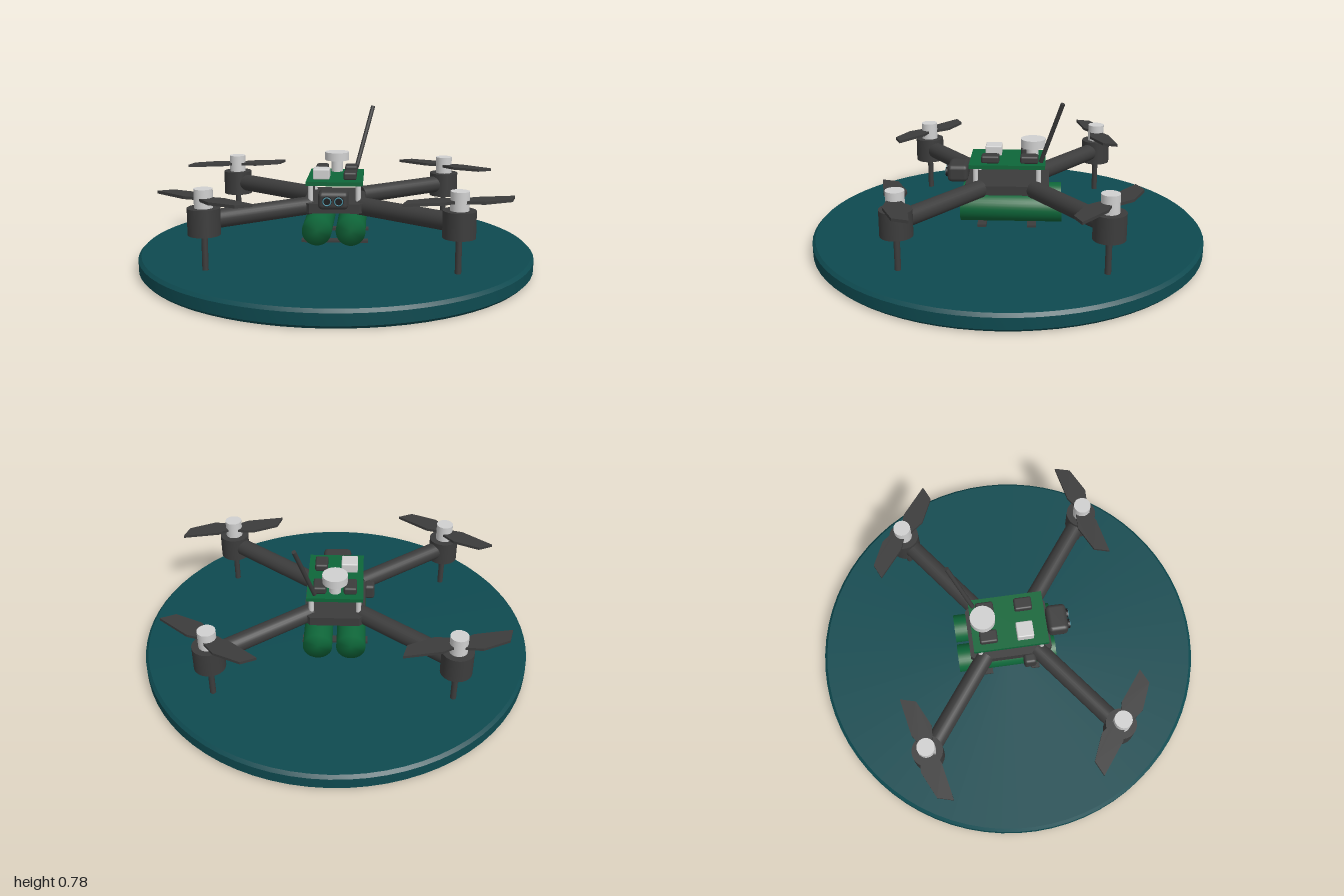
import * as THREE from 'three';
import { mergeVertices, toCreasedNormals } from 'three/addons/utils/BufferGeometryUtils.js';
import { RoundedBoxGeometry } from 'three/addons/geometries/RoundedBoxGeometry.js';

const mat = (name, color) => {
  const m = new THREE.MeshStandardMaterial({ color });
  m.name = name;
  return m;
};

export function createModel() {
  const teal = mat('teal', 0x0e4a50);
  const dark = mat('charcoal', 0x3c3c3c);
  const green = mat('green', 0x0e6639);
  const light = mat('lightGrey', 0xd0d0d0);
  const glass = mat('lensBlue', 0x4a8fa0);
  const black = mat('lensBlack', 0x1c1c1e);

  const model = new THREE.Group();
  model.name = 'quadcopterOnPad';

  const add = (name, geometry, material, x = 0, y = 0, z = 0, parent = model) => {
    const mesh = new THREE.Mesh(geometry, material);
    mesh.name = name;
    mesh.position.set(x, y, z);
    parent.add(mesh);
    return mesh;
  };
  // upright cylinder between two heights
  const post = (name, r, y0, y1, material, x, z, parent = model, sides = 28) =>
    add(name, new THREE.CylinderGeometry(r, r, y1 - y0, sides), material, x, (y0 + y1) / 2, z, parent);
  // cylinder between two points
  const rod = (name, a, b, r, material, sides = 24) => {
    const dir = b.clone().sub(a);
    const mesh = add(name, new THREE.CylinderGeometry(r, r, dir.length(), sides), material);
    mesh.position.copy(a).addScaledVector(dir, 0.5);
    mesh.quaternion.setFromUnitVectors(new THREE.Vector3(0, 1, 0), dir.normalize());
    return mesh;
  };
  // box with softened edges, given by its min and max corners
  const block = (name, x0, x1, y0, y1, z0, z1, bevel, material) =>
    add(name, new RoundedBoxGeometry(x1 - x0, y1 - y0, z1 - z0, 2, bevel), material,
      (x0 + x1) / 2, (y0 + y1) / 2, (z0 + z1) / 2);
  // flat outline in x/z, extruded upwards
  const slab = (points, height) => {
    const shape = new THREE.Shape(points.map(([x, z]) => new THREE.Vector2(x, -z)));
    return new THREE.ExtrudeGeometry(shape, { depth: height, bevelEnabled: false }).rotateX(-Math.PI / 2);
  };

  // landing pad with bevelled rim
  const padProfile = [[0, 0], [0.985, 0], [1, 0.015], [1, 0.07], [0.985, 0.085], [0, 0.085]]
    .map(([r, y]) => new THREE.Vector2(r, y));
  add('landingPad', toCreasedNormals(new THREE.LatheGeometry(padProfile, 72), 0.5), teal);

  // chamfered central frame
  const fx = 0.152, fz = 0.21, c = 0.03;
  add('frame', slab([
    [-fx, -fz + c], [-fx + c, -fz], [fx - c, -fz], [fx, -fz + c],
    [fx, fz - c], [fx - c, fz], [-fx + c, fz], [-fx, fz - c],
  ], 0.047), dark, 0, 0.298, 0);

  // four rotor units: arm, motor, leg, hub and propeller
  const blade = [[0.03, -0.035], [0.075, -0.065], [0.262, -0.103], [0.24, -0.025], [0.11, 0.038], [0.035, 0.035]];
  const outline = [...blade, ...blade.map(([x, z]) => [-x, -z])];
  for (const sx of [-1, 1]) {
    for (const sz of [-1, 1]) {
      const x = sx * 0.585, z = sz * 0.48;
      rod('arm', new THREE.Vector3(sx * 0.125, 0.322, sz * 0.135), new THREE.Vector3(x, 0.322, z), 0.045, dark);
      const rotor = new THREE.Group();
      rotor.name = 'rotorUnit';
      rotor.position.set(x, 0, z);
      model.add(rotor);
      post('motor', 0.077, 0.256, 0.383, dark, 0, 0, rotor, 32);
      post('landingLeg', 0.015, 0.08, 0.26, dark, 0, 0, rotor, 16);
      post('rotorHub', 0.044, 0.383, 0.472, light, 0, 0, rotor);
      const prop = add('propeller', slab(outline, 0.014), dark, 0, 0.418, 0, rotor);
      if (sx * sz < 0) prop.rotation.y = THREE.MathUtils.degToRad(-50);
    }
  }

  // twin canisters, shaded smoothly over their ends
  for (const s of [-1, 1]) {
    let g = new THREE.CylinderGeometry(0.073, 0.073, 0.51, 32).rotateX(Math.PI / 2);
    g.deleteAttribute('uv');
    g.deleteAttribute('normal');
    g = mergeVertices(g);
    g.computeVertexNormals();
    add('canister', g, green, s * 0.083, 0.215, -0.02);
    // cross straps below the canisters
    add('strap', new THREE.BoxGeometry(0.334, 0.012, 0.045), dark, 0, 0.14, s * 0.125);
  }

  // circuit board on standoffs
  add('circuitBoard', new THREE.BoxGeometry(0.28, 0.02, 0.38), green, 0, 0.44, 0);
  for (const sx of [-1, 1]) {
    for (const sz of [-1, 1]) post('standoff', 0.013, 0.34, 0.432, light, sx * 0.118, sz * 0.157, model, 12);
  }

  // board components
  block('lightChip', -0.11, -0.027, 0.448, 0.5, 0.033, 0.117, 0.006, light);
  block('darkChipFront', 0.043, 0.108, 0.448, 0.487, 0.04, 0.13, 0.01, dark);
  block('darkChipBackLeft', 0.043, 0.108, 0.448, 0.487, -0.155, -0.065, 0.01, dark);
  block('darkChipBackRight', -0.108, -0.043, 0.448, 0.487, -0.155, -0.065, 0.01, dark);

  // navigation puck and whip antenna
  post('puckStem', 0.03, 0.448, 0.515, light, 0, -0.125);
  post('puck', 0.063, 0.51, 0.552, light, 0, -0.128, model, 32);
  rod('antenna', new THREE.Vector3(0.1, 0.46, -0.168), new THREE.Vector3(0.185, 0.777, -0.27), 0.011, dark, 12);

  // front camera with two lenses
  block('camera', -0.073, 0.073, 0.335, 0.423, 0.2, 0.305, 0.022, dark);
  for (const s of [-1, 1]) {
    const ring = add('lensBarrel', new THREE.CylinderGeometry(0.024, 0.024, 0.02, 24), black, s * 0.028, 0.379, 0.305);
    ring.rotation.x = Math.PI / 2;
    add('lensRing', new THREE.TorusGeometry(0.019, 0.003, 8, 24), glass, s * 0.028, 0.379, 0.315);
  }

  // small module on the right flank
  block('sideModule', -0.2, -0.145, 0.265, 0.345, 0.058, 0.122, 0.015, dark);

  return model;
}
